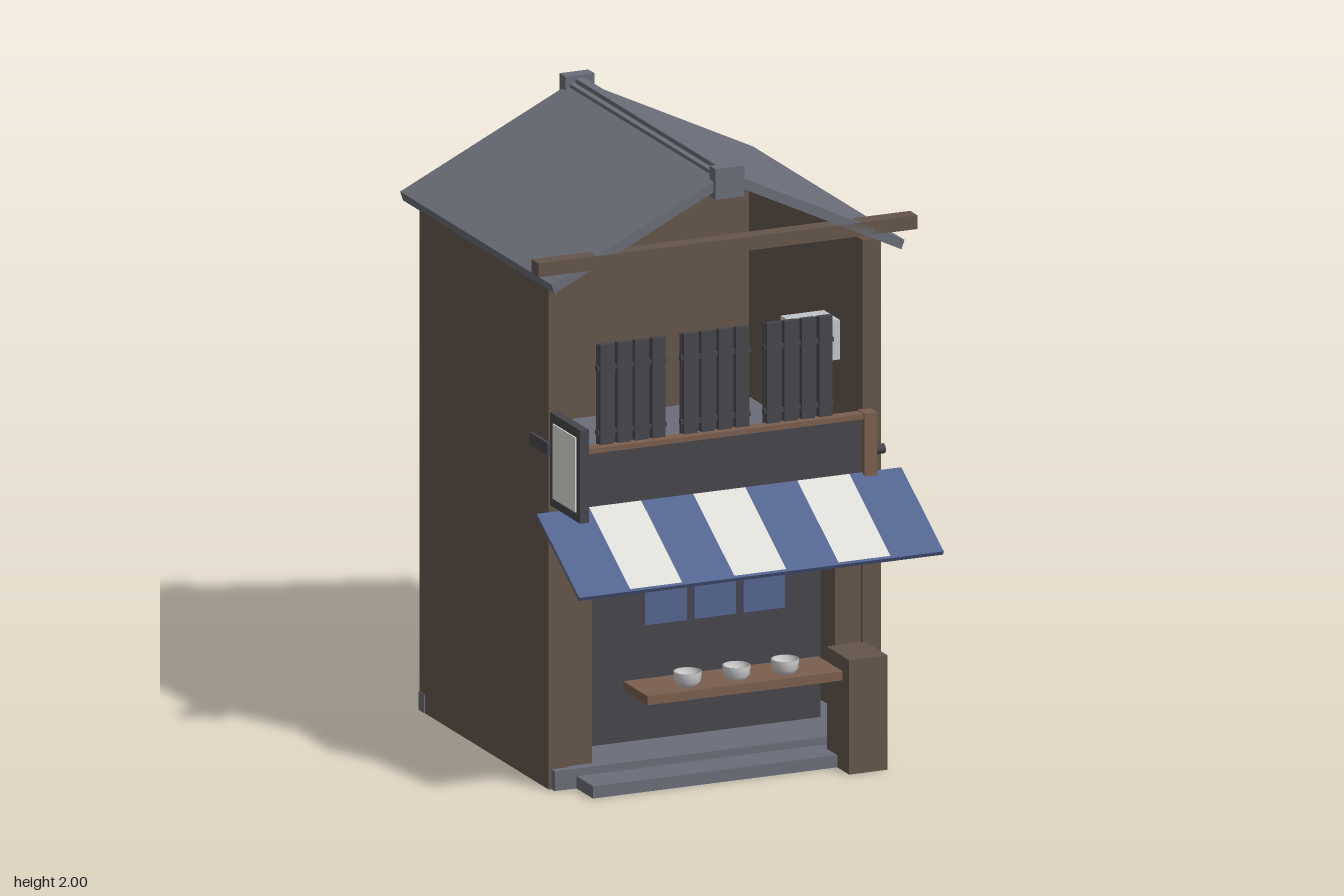
import * as THREE from 'three';

export function createModel() {
  const root = new THREE.Group();
  const mat = (color) => new THREE.MeshStandardMaterial({ color });
  const wood = mat(0x64554a), lightWood = mat(0x7a5f4e), dark = mat(0x47464b), slate = mat(0x6a6d78);
  const blue = mat(0x53658f), cream = mat(0xdedcd6), white = mat(0xe8e8e8), metal = mat(0xc0c5ca);

  const add = (name, geometry, material, parent = root) => {
    const mesh = new THREE.Mesh(geometry, material);
    mesh.name = name;
    parent.add(mesh);
    return mesh;
  };
  // Box given by its minimum and maximum on each axis
  const box = (name, material, x0, x1, y0, y1, z0, z1, parent = root) => {
    const mesh = add(name, new THREE.BoxGeometry(x1 - x0, y1 - y0, z1 - z0), material, parent);
    mesh.position.set((x0 + x1) / 2, (y0 + y1) / 2, (z0 + z1) / 2);
    return mesh;
  };
  // Same box on both sides of x = 0
  const pair = (name, material, x0, x1, ...rest) => {
    box(name + 'Left', material, x0, x1, ...rest);
    box(name + 'Right', material, -x1, -x0, ...rest);
  };

  // Shell: open at the front and in both gables
  pair('sideWall', wood, 0.55, 0.575, 0, 1.66, -0.6, 0.3);
  box('backWall', wood, -0.55, 0.55, 0, 1.69, -0.615, -0.59);
  pair('frontPost', wood, 0.51, 0.575, 0, 1.67, 0.3, 0.36);
  pair('backPost', wood, 0.54, 0.575, 0, 1.66, -0.62, -0.59);
  pair('doorJamb', wood, 0.42, 0.51, 0.04, 0.92, 0.29, 0.35);
  box('groundFloor', slate, -0.55, 0.55, 0.01, 0.05, -0.6, 0.34);
  box('upperFloor', slate, -0.55, 0.55, 0.86, 0.9, -0.6, 0.34);
  box('shopPartition', dark, -0.47, 0.47, 0.05, 0.86, 0.1, 0.13);

  // Sill and step
  box('frontSill', slate, -0.565, 0.565, 0, 0.065, 0.32, 0.385);
  box('frontStep', slate, -0.49, 0.49, 0, 0.04, 0.385, 0.51);
  pair('rearPostFoot', slate, 0.53, 0.577, 0, 0.06, -0.622, -0.58);

  // Roof slabs, extruded from the gable section
  const slope = new THREE.Shape([[0, 1.98], [0, 1.945], [0.6, 1.655], [0.61, 1.685]]
    .map(([x, y]) => new THREE.Vector2(x, y)));
  const mirrored = new THREE.Shape([[0, 1.98], [-0.61, 1.685], [-0.6, 1.655], [0, 1.945]]
    .map(([x, y]) => new THREE.Vector2(x, y)));
  [slope, mirrored].forEach((shape, i) => {
    const slab = add(i ? 'roofSlopeRight' : 'roofSlopeLeft',
      new THREE.ExtrudeGeometry(shape, { depth: 1.15, bevelEnabled: false }), slate);
    slab.position.z = -0.69;
  });

  // Ridge rails and end caps
  box('ridgeBase', slate, -0.035, 0.035, 1.95, 1.975, -0.69, 0.45);
  box('ridgeTop', slate, -0.015, 0.015, 1.975, 1.99, -0.69, 0.45);
  box('ridgeCapFront', slate, -0.05, 0.05, 1.9, 2, 0.43, 0.475);
  box('ridgeCapBack', slate, -0.05, 0.05, 1.9, 2, -0.71, -0.665);
  box('eaveBeam', wood, -0.655, 0.655, 1.715, 1.76, 0.405, 0.46);

  // Upper lattice windows
  [-0.29, 0, 0.287].forEach((cx) => {
    const lattice = new THREE.Group();
    lattice.name = 'latticeWindow';
    lattice.position.x = cx;
    root.add(lattice);
    box('latticePanel', dark, -0.115, 0.115, 1.09, 1.435, 0.345, 0.355, lattice);
    for (let i = 0; i < 4; i++) {
      const x = -0.09 + i * 0.06;
      box('latticeBar', dark, x - 0.023, x + 0.023, 1.09, 1.44, 0.355, 0.375, lattice);
    }
    [1.15, 1.36].forEach((y) => box('latticeRail', dark, -0.12, 0.12, y - 0.007, y + 0.007, 0.35, 0.37, lattice));
  });
  box('airConditioner', metal, 0.3, 0.45, 1.275, 1.405, 0.2, 0.32);

  // Name board over the awning, left blank
  box('nameBoard', dark, -0.5, 0.5, 0.9, 1.1, 0.35, 0.385);
  box('nameBoardRail', lightWood, -0.5, 0.5, 1.095, 1.112, 0.36, 0.4);
  pair('nameBoardPost', lightWood, 0.495, 0.538, 0.905, 1.115, 0.355, 0.41);
  const lamp = add('sidePipe', new THREE.CylinderGeometry(0.016, 0.016, 0.05, 16), dark);
  lamp.rotation.z = Math.PI / 2;
  lamp.position.set(0.55, 0.985, 0.38);

  // Striped awning sloping forward
  const awning = new THREE.Group();
  awning.name = 'awning';
  const run = 0.32, drop = 0.19, length = Math.hypot(run, drop);
  awning.position.set(0, 0.82, 0.55);
  awning.rotation.x = Math.atan2(drop, run);
  root.add(awning);
  for (let i = 0; i < 7; i++) {
    const x = -0.63 + i * 0.18;
    box('awningStripe', i % 2 ? cream : blue, x, x + 0.18, -0.005, 0.005, -length / 2, length / 2, awning);
  }
  box('awningHem', blue, -0.63, 0.63, -0.009, 0.006, length / 2 - 0.008, length / 2 + 0.002, awning);
  pair('awningBracket', slate, 0.53, 0.56, 0.79, 0.9, 0.355, 0.405);

  // Door curtain
  box('curtainRod', wood, -0.42, 0.42, 0.69, 0.71, 0.345, 0.365);
  [-0.172, -0.002, 0.168].forEach((x) => box('doorCurtain', blue, x - 0.072, x + 0.072, 0.5, 0.69, 0.36, 0.367));

  // Counter with bowls and side cabinet
  box('counter', lightWood, -0.34, 0.335, 0.31, 0.34, 0.41, 0.595);
  box('cabinet', wood, 0.355, 0.488, 0, 0.375, 0.43, 0.6);
  const bowlProfile = [[0, 0], [0.03, 0], [0.042, 0.015], [0.045, 0.045], [0.04, 0.045], [0.036, 0.016], [0, 0.012]]
    .map(([r, y]) => new THREE.Vector2(r, y));
  [-0.172, -0.003, 0.165].forEach((x) => {
    const bowl = add('bowl', new THREE.LatheGeometry(bowlProfile, 24), white);
    bowl.position.set(x, 0.34, 0.53);
  });

  // Projecting side sign with a pale panel
  box('hangingSign', dark, -0.575, -0.545, 0.935, 1.24, 0.372, 0.6);
  box('hangingSignPanel', cream, -0.58, -0.574, 0.965, 1.21, 0.4, 0.572);
  box('hangingSignArm', dark, -0.585, -0.56, 1.1, 1.14, 0.24, 0.375);

  return root;
}
